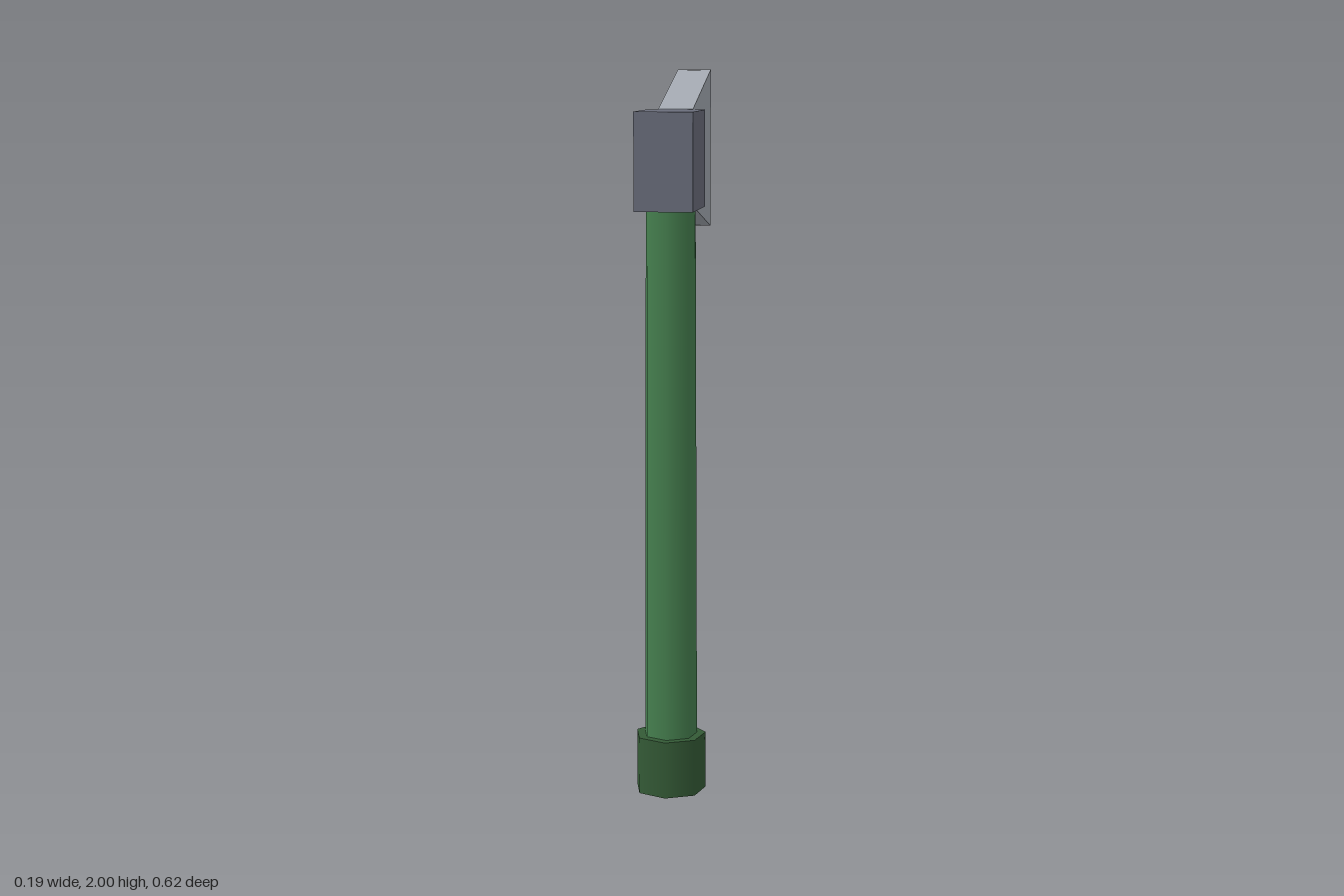
import * as THREE from 'three';

const paint = (name, color) => {
  const m = new THREE.MeshStandardMaterial({ color });
  m.name = name;
  return m;
};

export function createModel() {
  const group = new THREE.Group();
  group.name = 'axe';

  const handleGreen = paint('handle green', 0x46804f);
  const gripGreen = paint('dark grip green', 0x345a36);
  const darkSteel = paint('dark steel', 0x6a6d7b);
  const bladeSteel = paint('blade steel', 0xa3a9b1);
  const edgeSteel = paint('edge steel', 0xcccfd1);

  const add = (name, geometry, material, x, y, z) => {
    const mesh = new THREE.Mesh(geometry, material);
    mesh.name = name;
    mesh.position.set(x, y, z);
    group.add(mesh);
  };

  // Seven-sided tapering handle and its end cap
  const sides = 7, axis = 0.19;
  add('handle', new THREE.CylinderGeometry(0.07, 0.076, 1.68, sides), handleGreen, 0, 0.86, axis);
  add('endCap', new THREE.CylinderGeometry(0.1, 0.1, 0.16, sides), gripGreen, 0, 0.08, axis);

  // Block holding the blade
  add('headBlock', new THREE.BoxGeometry(0.16, 0.265, 0.24), darkSteel, 0, 1.7625, axis);

  // Blade flaring towards the cutting side, as an extruded trapezoid
  const outline = new THREE.Shape([
    [-0.083, 1.632], [0.29, 1.55], [0.29, 2.0], [-0.083, 1.896],
  ].map(([x, y]) => new THREE.Vector2(x, y)));
  const blade = new THREE.ExtrudeGeometry(outline, { depth: 0.096, bevelEnabled: false });
  blade.translate(0, 0, -0.048).rotateY(Math.PI / 2);
  add('blade', blade, bladeSteel, 0, 0, 0);

  // Thin cutting edge
  add('cuttingEdge', new THREE.BoxGeometry(0.038, 0.45, 0.03), edgeSteel, 0, 1.775, -0.295);

  return group;
}
